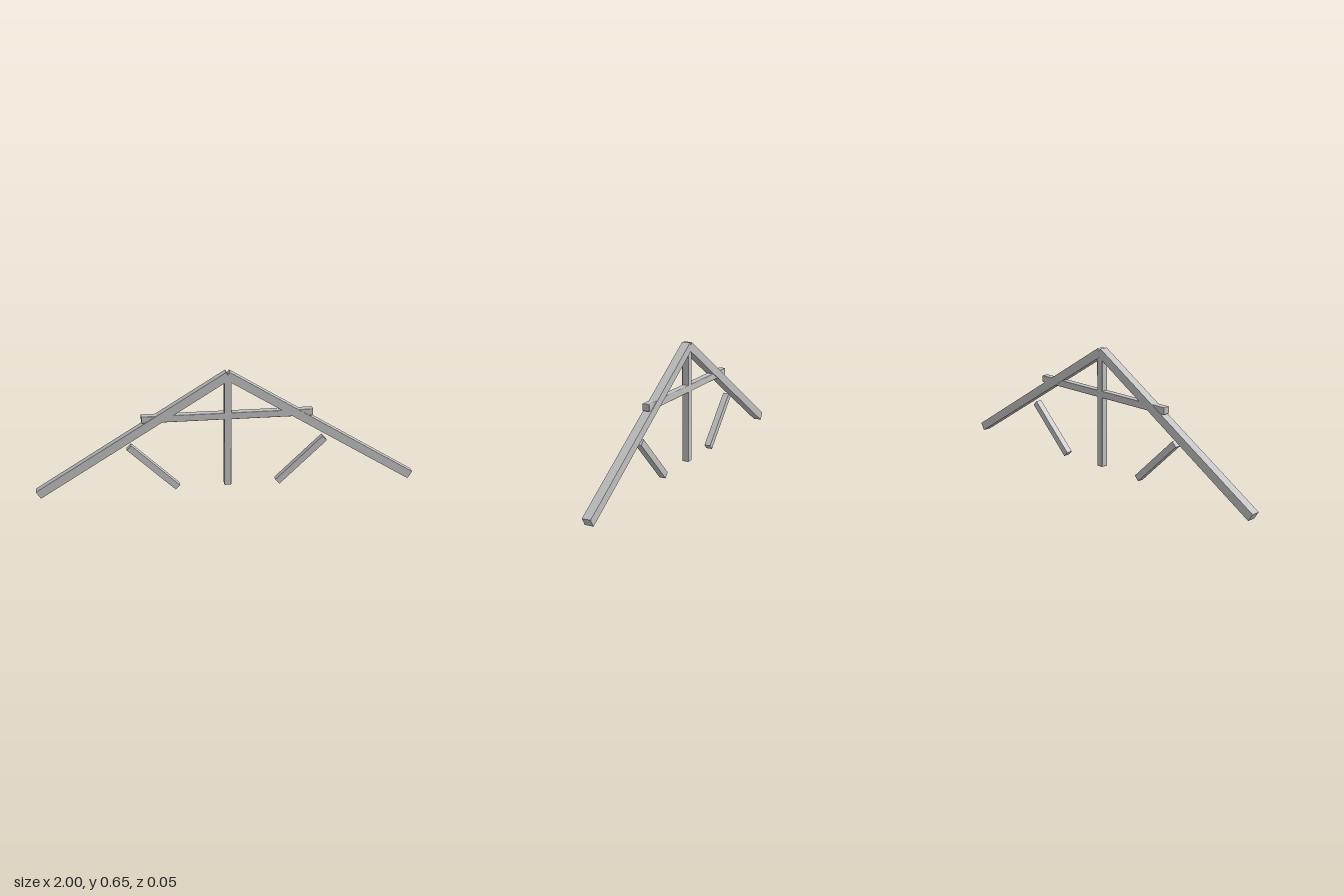
import * as THREE from 'three';
import { RoundedBoxGeometry } from 'three/addons/geometries/RoundedBoxGeometry.js';

export function createModel() {
  const model = new THREE.Group();
  model.name = 'roofTruss';
  const timber = new THREE.MeshStandardMaterial({ color: 0xc0c0c0 });
  timber.name = 'greyTimber';

  // Straight beam between two points in the truss plane; bevel softens its edges
  function beam(name, x1, y1, x2, y2, height, depth, bevel = 0) {
    const length = Math.hypot(x2 - x1, y2 - y1);
    const geometry = bevel
      ? new RoundedBoxGeometry(length, height, depth, 2, bevel)
      : new THREE.BoxGeometry(length, height, depth);
    const mesh = new THREE.Mesh(geometry, timber);
    mesh.name = name;
    mesh.position.set((x1 + x2) / 2, (y1 + y2) / 2, 0);
    mesh.rotation.z = Math.atan2(y2 - y1, x2 - x1);
    model.add(mesh);
  }

  // Sloping rafters and loose diagonal braces, mirrored
  for (const [side, s] of [['left', 1], ['right', -1]]) {
    beam(side + 'Rafter', s * 0.988, 0.0195, s * -0.002, 0.633, 0.045, 0.045);
    beam(side + 'Brace', s * 0.512, 0.26, s * 0.265, 0.02, 0.034, 0.034);
  }

  // Upright post under the ridge and horizontal collar tie
  beam('kingPost', 0, 0.018, 0, 0.622, 0.038, 0.038, 0.004);
  beam('collarTie', -0.445, 0.412, 0.445, 0.412, 0.037, 0.038, 0.004);

  return model;
}
